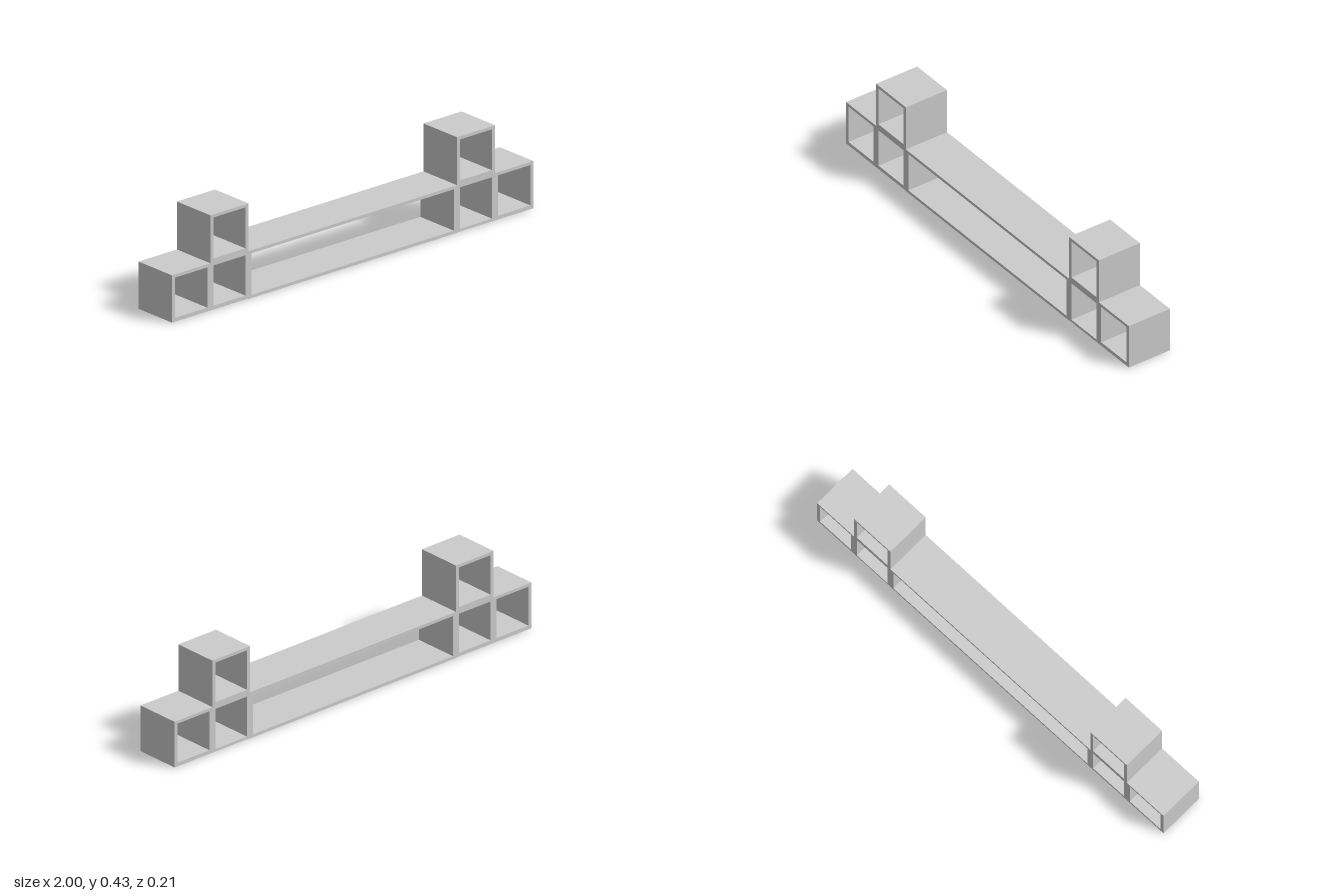
import * as THREE from 'three';

const DEPTH = 0.212;
const WALL = 0.017;
const material = new THREE.MeshStandardMaterial({ color: 0xcccccc, flatShading: true });

// Open box: a rectangular frame extruded through the full depth
function frame(name, x0, x1, y0, y1, floor = WALL) {
  const rect = (Type, a, b, c, d) => new Type([
    new THREE.Vector2(a, c), new THREE.Vector2(b, c),
    new THREE.Vector2(b, d), new THREE.Vector2(a, d),
  ]);
  const shape = rect(THREE.Shape, x0, x1, y0, y1);
  shape.holes.push(rect(THREE.Path, x0 + WALL, x1 - WALL, y0 + floor, y1 - WALL + 0.003));
  const geometry = new THREE.ExtrudeGeometry(shape, { depth: DEPTH, bevelEnabled: false });
  geometry.translate(0, 0, -DEPTH / 2);
  const mesh = new THREE.Mesh(geometry, material);
  mesh.name = name;
  return mesh;
}

export function createModel() {
  const group = new THREE.Group();
  group.name = 'cubeShelf';

  // Long low compartment between the two stacks
  group.add(frame('longShelf', -0.577, 0.577, 0, 0.213, 0.014));

  // Three cubes at each end: outer, inner and one stacked on the inner
  for (const [label, side] of [['left', 1], ['right', -1]]) {
    const cube = (part, a, b, y0, y1, floor) =>
      group.add(frame(label + part, Math.min(side * a, side * b), Math.max(side * a, side * b), y0, y1, floor));
    cube('OuterCube', 0.788, 1, 0.002, 0.213);
    cube('InnerCube', 0.577, 0.788, 0.002, 0.213, side > 0 ? 0.012 : WALL);
    cube('UpperCube', 0.577, 0.788, 0.213, 0.427);
  }
  return group;
}
